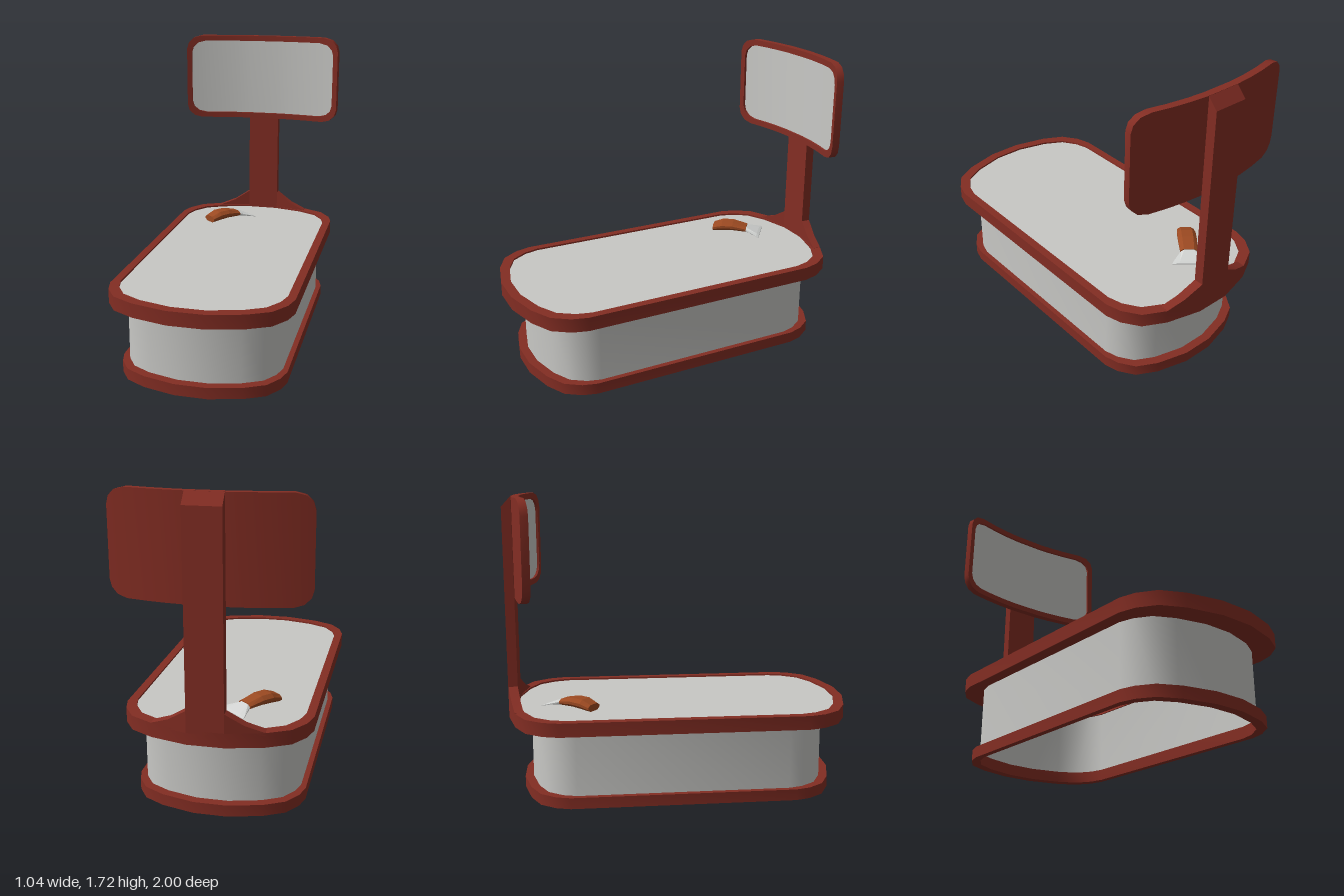
import * as THREE from 'three';
import { toCreasedNormals } from 'three/addons/utils/BufferGeometryUtils.js';

const material = (name, color, side = THREE.FrontSide) => {
  const m = new THREE.MeshStandardMaterial({ color, side });
  m.name = name;
  return m;
};

// Mirror a quarter outline into a full loop of [x, y], clockwise from the top left
function mirrored(quarter) {
  const top = [...quarter.map(([x, y]) => [-x, y]).reverse(), ...quarter];
  return [...top, ...top.map(([x, y]) => [x, -y]).reverse()];
}

function geometryFrom(quads, crease) {
  const positions = [];
  for (const [a, b, c, d] of quads) {
    for (const p of [a, b, c, a, c, d]) positions.push(...p);
  }
  const geo = new THREE.BufferGeometry();
  geo.setAttribute('position', new THREE.Float32BufferAttribute(positions, 3));
  return toCreasedNormals(geo, crease);
}

// Quads joining successive loops
function skin(loops) {
  const quads = [];
  for (let k = 0; k + 1 < loops.length; k++) {
    const a = loops[k], b = loops[k + 1];
    a.forEach((p, i) => {
      const j = (i + 1) % a.length;
      quads.push([p, b[i], b[j], a[j]]);
    });
  }
  return quads;
}

// Strips between the two mirrored halves of a loop
function fill(loop, flip = false) {
  const quads = [], n = loop.length;
  for (let i = 0; i < n / 2 - 1; i++) {
    const q = [loop[i], loop[n - 1 - i], loop[n - 2 - i], loop[i + 1]];
    quads.push(flip ? q.reverse() : q);
  }
  return quads;
}

export function createModel() {
  const model = new THREE.Group();
  model.name = 'displayTable';
  const red = material('darkRed', 0x832d23);
  const grey = material('paleGrey', 0xc8c8c5, THREE.DoubleSide);
  const brown = material('handleBrown', 0x9c4a22);
  const steel = material('steel', 0xd2d4d2);

  const add = (name, geo, mat, parent = model) => {
    const mesh = new THREE.Mesh(geo, mat);
    mesh.name = name;
    parent.add(mesh);
    return mesh;
  };
  const SMOOTH = 0.7;

  // Table outline, scaled to a half width and half length at a height
  const tableOutline = mirrored([[0.1, 1], [0.3, 0.95], [0.425, 0.885], [0.49, 0.79], [0.515, 0.7]]);
  const tableLoop = (w, l, y) => tableOutline.map(([x, p]) => [x * w / 0.515, y, -p * l]);

  // Base ring, open in the middle
  add('baseRing', geometryFrom(skin([
    tableLoop(0.435, 0.865, 0), tableLoop(0.47, 0.92, 0), tableLoop(0.47, 0.92, 0.065),
    tableLoop(0.435, 0.865, 0.065), tableLoop(0.435, 0.865, 0),
  ]), SMOOTH), red);

  // Thin wall, seen from both sides
  add('wall', geometryFrom(skin([tableLoop(0.44, 0.87, 0.06), tableLoop(0.44, 0.87, 0.44)]), SMOOTH), grey);

  // Table rim around a slightly sunken surface
  add('tableRim', geometryFrom(skin([
    tableLoop(0.432, 0.862, 0.435), tableLoop(0.515, 1, 0.435), tableLoop(0.515, 1, 0.515),
    tableLoop(0.468, 0.945, 0.515), tableLoop(0.468, 0.945, 0.504), tableLoop(0.432, 0.862, 0.435),
  ]), SMOOTH), red);
  add('tableSurface', geometryFrom(fill(tableLoop(0.468, 0.945, 0.505)), SMOOTH), grey);

  // Post with a bevelled back edge at the top
  const post = new THREE.BoxGeometry(0.2, 1.22, 0.055).translate(0, 1.11, -0.9725);
  const pp = post.attributes.position;
  for (let i = 0; i < pp.count; i++) {
    if (pp.getY(i) > 1.5 && pp.getZ(i) < -0.98) pp.setY(i, 1.66);
  }
  add('post', toCreasedNormals(post, 0.3), red);

  // Flared feet of the post, following the rim
  for (const side of [-1, 1]) {
    const shape = new THREE.Shape([[0.1, 0.5], [0.3, 0.5], [0.3, 0.516], [0.2, 0.555], [0.1, 0.62]]
      .map(([x, y]) => new THREE.Vector2(side * x, y)));
    const flare = new THREE.ExtrudeGeometry(shape, { depth: 1, bevelEnabled: false });
    const p = flare.attributes.position;
    for (let i = 0; i < p.count; i++) {
      const out = Math.abs(p.getX(i)) - 0.1;
      p.setZ(i, p.getZ(i) > 0.5 ? -0.945 + out * 0.225 : -1 + out * 0.25);
    }
    add(side > 0 ? 'leftFlare' : 'rightFlare', toCreasedNormals(flare, 0.3), red);
  }

  // Curved sign panel: its ends bend forward
  const signOutline = mirrored([[0.1, 0.28], [0.2, 0.28], [0.31, 0.28], [0.42, 0.28],
    [0.475, 0.265], [0.508, 0.232], [0.52, 0.19]]);
  const signLoop = (w, h, depth) => signOutline.map(([x, y]) => {
    const sx = x * w / 0.52;
    return [sx - sx * 0.28 * depth, 1.44 + y * h / 0.28, -0.946 + 0.3 * sx * sx + depth];
  });
  add('signFrame', geometryFrom([
    ...fill(signLoop(0.52, 0.28, 0), true),
    ...skin([signLoop(0.52, 0.28, 0), signLoop(0.52, 0.28, 0.043),
      signLoop(0.488, 0.245, 0.043), signLoop(0.488, 0.245, 0.028)]),
  ], SMOOTH), red);
  add('signFace', geometryFrom(fill(signLoop(0.488, 0.245, 0.029)), SMOOTH), grey);

  // Hand scraper lying on the table, built along its own z axis
  const scraper = new THREE.Group();
  scraper.name = 'scraper';
  scraper.position.set(-0.205, 0, -0.59);
  scraper.rotation.y = Math.atan2(0.64, -0.77);
  model.add(scraper);
  const section = ([z, y, w, h]) => mirrored([[w * 0.6, h], [w, h * 0.3]]).map(([a, b]) => [a, y + b, z]);
  const bar = (sections) => {
    const loops = sections.map(section);
    return geometryFrom([...fill(loops[0], true), ...skin(loops), ...fill(loops[loops.length - 1])], 0.05);
  };
  add('scraperHandle', bar([[-0.11, 0.532, 0.05, 0.02], [-0.05, 0.547, 0.055, 0.028],
    [0.02, 0.55, 0.055, 0.026], [0.11, 0.538, 0.05, 0.018]]), brown, scraper);
  add('scraperBlade', bar([[0.105, 0.537, 0.042, 0.015], [0.185, 0.52, 0.095, 0.006],
    [0.2, 0.515, 0.102, 0.004]]), steel, scraper);

  return model;
}
